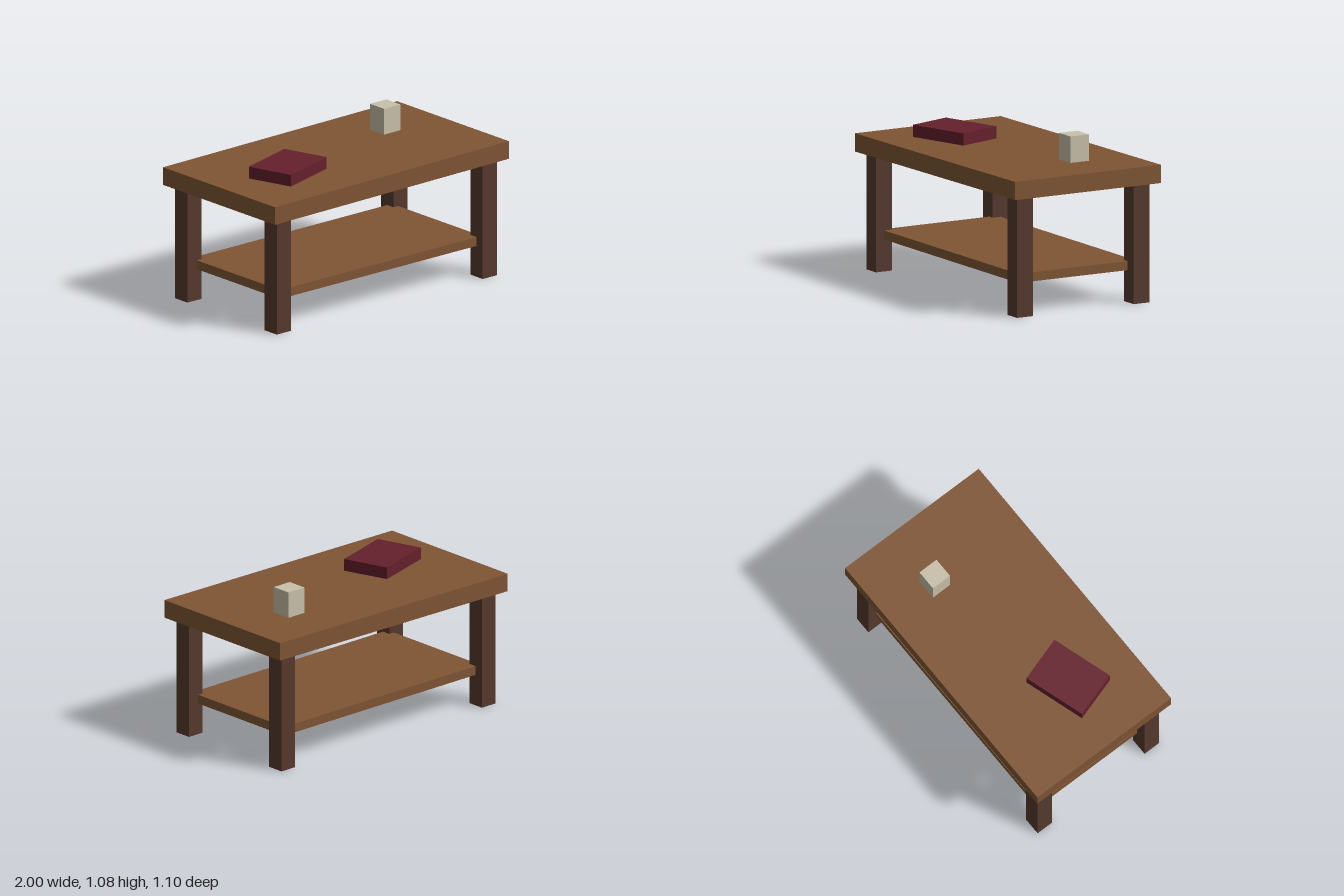
import * as THREE from 'three';

const material = (name, color) => Object.assign(new THREE.MeshStandardMaterial({ color }), { name });

export function createModel() {
  const wood = material('warm wood', 0x7f5534);
  const darkWood = material('dark wood', 0x56392d);
  const maroon = material('maroon cover', 0x65202c);
  const cream = material('cream', 0xc9c0aa);

  const table = new THREE.Group();
  table.name = 'coffeeTable';

  const box = (name, mat, size, position) => {
    const mesh = new THREE.Mesh(new THREE.BoxGeometry(...size), mat);
    mesh.name = name;
    mesh.position.set(...position);
    table.add(mesh);
    return mesh;
  };

  // Slightly sloping top
  box('tableTop', wood, [2, 0.12, 1.1], [0, 0.84, 0]).rotation.z = 0.01;

  // Four square legs
  for (const [side, x] of [['Left', 0.88], ['Right', -0.88]]) {
    for (const [end, z] of [['front', 0.44], ['back', -0.44]]) {
      box(`${end}${side}Leg`, darkWood, [0.12, 0.78, 0.12], [x, 0.39, z]);
    }
  }

  // Lower shelf, let into the legs
  box('shelf', wood, [1.72, 0.06, 0.88], [0, 0.24, 0]);

  // Objects on the table
  box('book', maroon, [0.435, 0.08, 0.32], [-0.5, 0.94, 0.1]).rotation.y = 0.3;
  box('cup', cream, [0.14, 0.18, 0.14], [0.56, 0.99, -0.16]);

  return table;
}
